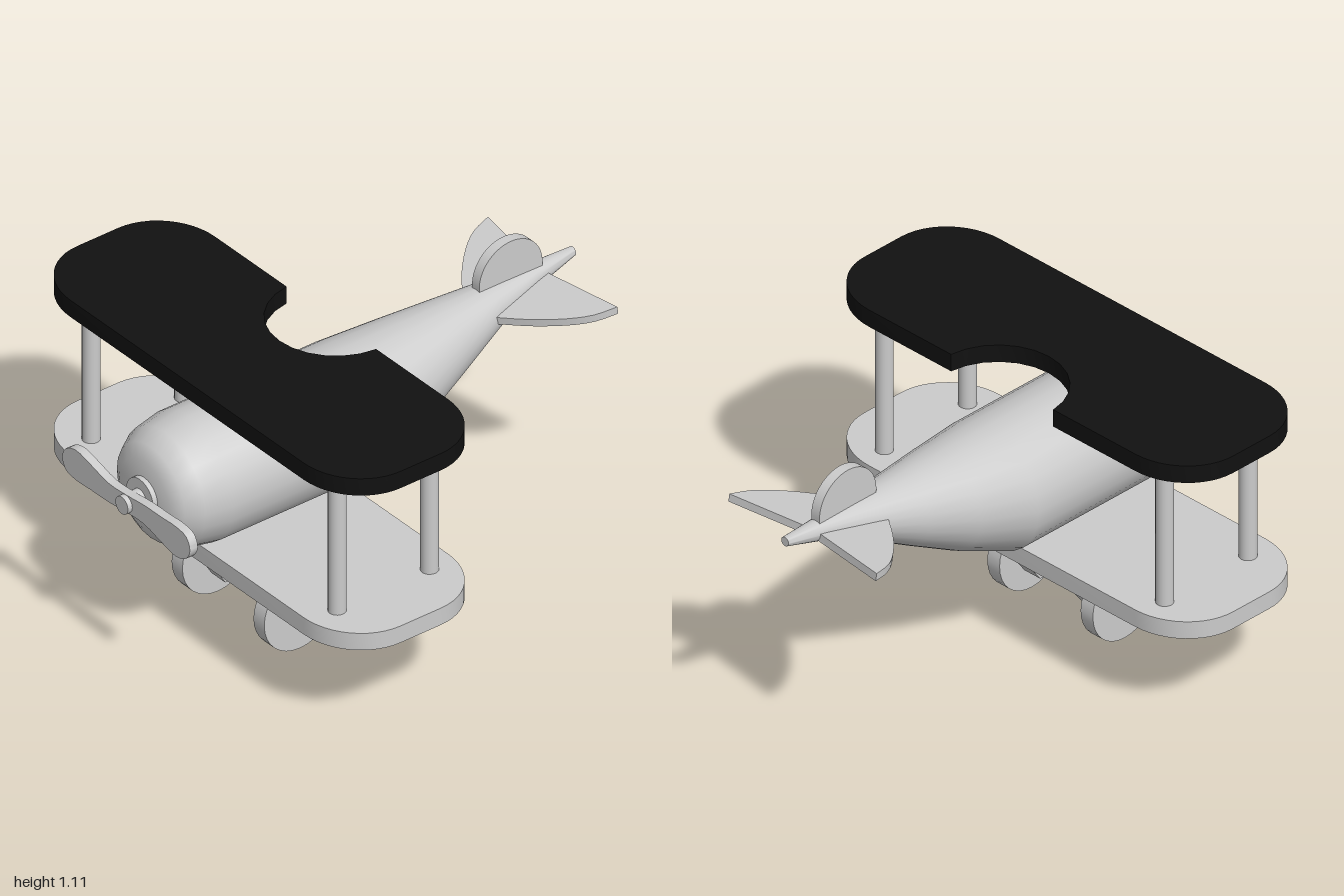
import * as THREE from 'three';
import { toCreasedNormals } from 'three/addons/utils/BufferGeometryUtils.js';

const grey = new THREE.MeshStandardMaterial({ color: 0xcccccc });
const black = new THREE.MeshStandardMaterial({ color: 0x111111 });

const AXIS_Y = 0.704; // height of the nose and propeller axis
const RADIUS = 0.248; // fuselage radius

const shapeOf = (pts) => new THREE.Shape(pts.map(([x, y]) => new THREE.Vector2(x, y)));

// Plate of the given thickness, centred on its own thickness
function plate(shape, depth, curveSegments = 6) {
  const geo = new THREE.ExtrudeGeometry(shape, { depth, bevelEnabled: false, curveSegments });
  return toCreasedNormals(geo.translate(0, 0, -depth / 2), 0.6);
}

// Rounded wing outline in x and z, optionally with a cockpit cutout in the rear edge
function wingShape(cutout) {
  const s = new THREE.Shape();
  const corner = (x, z, quarter) =>
    s.absellipse(x, z, 0.23, 0.25, quarter * Math.PI / 2, (quarter + 1) * Math.PI / 2, false);
  s.moveTo(-0.3, -0.9);
  corner(-0.3, -0.65, -1);
  if (cutout) {
    const a = Math.atan2(0.249, -0.02);
    s.lineTo(-0.07, -0.249);
    s.absarc(-0.05, 0, 0.25, -a, a, true);
  }
  corner(-0.3, 0.65, 0);
  corner(-0.48, 0.65, 1);
  corner(-0.48, -0.65, 2);
  return s;
}

// Round nose, straight body, and a tail whose upper line stays level
function fuselageGeometry() {
  const profile = [
    [0.001, -0.9], [0.14, -0.9], [0.19, -0.87], [0.228, -0.81], [RADIUS, -0.7], [RADIUS, 0],
    [0.197, 0.23], [0.143, 0.43], [0.09, 0.62], [0.045, 0.82], [0.018, 1], [0.001, 1],
  ].map(([r, x]) => new THREE.Vector2(r, x));
  const geo = new THREE.LatheGeometry(profile, 24).rotateZ(-Math.PI / 2);
  const pos = geo.attributes.position;
  const lift = profile.map((p) => (p.y > 0 ? RADIUS - Math.max(p.x, 0.018) : 0));
  for (let i = 0; i < pos.count; i++) pos.setY(i, pos.getY(i) + lift[i % profile.length]);
  geo.computeVertexNormals();
  return toCreasedNormals(geo, 0.6);
}

// S-shaped propeller outline: one blade, then the same turned half round
function propellerShape() {
  const blade = [
    [0, 0.036], [0.1, 0.034], [0.2, 0.06], [0.28, 0.076], [0.335, 0.055], [0.356, 0.01],
    [0.335, -0.035], [0.28, -0.048], [0.2, -0.046], [0.1, -0.045],
  ];
  const pts = [...blade, ...blade.map(([x, y]) => [-x, -y])].map(([x, y]) => new THREE.Vector3(x, y, 0));
  const curve = new THREE.CatmullRomCurve3(pts, true);
  return shapeOf(curve.getPoints(60).slice(0, -1).map((p) => [p.x, p.y]).reverse());
}

export function createModel() {
  const group = new THREE.Group();
  const add = (name, geo, x = 0, y = 0, z = 0, material = grey) => {
    const mesh = new THREE.Mesh(geo, material);
    mesh.name = name;
    mesh.position.set(x, y, z);
    group.add(mesh);
    return mesh;
  };
  const cylX = (r, len) => new THREE.CylinderGeometry(r, r, len, 24).rotateZ(Math.PI / 2);
  const cylZ = (r, len) => new THREE.CylinderGeometry(r, r, len, 32).rotateX(Math.PI / 2);

  add('fuselage', fuselageGeometry(), 0, AXIS_Y, 0);

  // Wings
  add('upperWing', plate(wingShape(true), 0.07).rotateX(-Math.PI / 2), 0, 1.065, 0, black);
  add('lowerWing', plate(wingShape(false), 0.07).rotateX(-Math.PI / 2), 0, 0.42, 0);
  for (const x of [-0.59, -0.18]) {
    for (const side of [1, -1]) {
      add('wingStrut', new THREE.CylinderGeometry(0.033, 0.033, 0.6, 20), x, 0.742, side * 0.685);
    }
  }

  // Propeller
  add('noseWasher', cylX(0.075, 0.04), -0.9, AXIS_Y, 0);
  add('propellerShaft', cylX(0.035, 0.12), -0.94, AXIS_Y, 0);
  add('propeller', plate(propellerShape(), 0.035).rotateY(Math.PI / 2), -0.963, AXIS_Y, 0);

  // Tail: half-disc fin and swept tailplane
  const fin = new THREE.Shape();
  fin.moveTo(-0.138, -0.06);
  fin.lineTo(0.138, -0.06);
  fin.lineTo(0.14, 0);
  fin.absarc(0, 0, 0.14, 0, Math.PI, false);
  add('tailFin', plate(fin, 0.04, 20), 0.71, 0.965, 0);

  const leading = new THREE.SplineCurve(
    [[-0.175, 0.08], [-0.09, 0.19], [0, 0.28], [0.08, 0.335], [0.165, 0.36]].map(([x, y]) => new THREE.Vector2(x, y)),
  ).getPoints(12).map((p) => [p.x, p.y]);
  const half = [...leading, [0.115, 0.03]];
  const mirrored = half.map(([x, z]) => [x, -z]).reverse();
  const tailplane = add('tailplane', plate(shapeOf([...half, ...mirrored]), 0.03).rotateX(-Math.PI / 2), 0.75, 0.887, 0);
  tailplane.rotation.z = 0.145;

  // Landing gear
  const leg = shapeOf([[-0.63, 0.39], [-0.46, 0.105], [-0.36, 0.105], [-0.15, 0.39]]);
  for (const side of [1, -1]) {
    add('landingLeg', plate(leg, 0.077), 0, 0, side * 0.14);
    add('wheel', cylZ(0.158, 0.06), -0.415, 0.158, side * 0.228);
  }
  add('axle', cylZ(0.028, 0.545), -0.415, 0.158, 0);

  return group;
}
